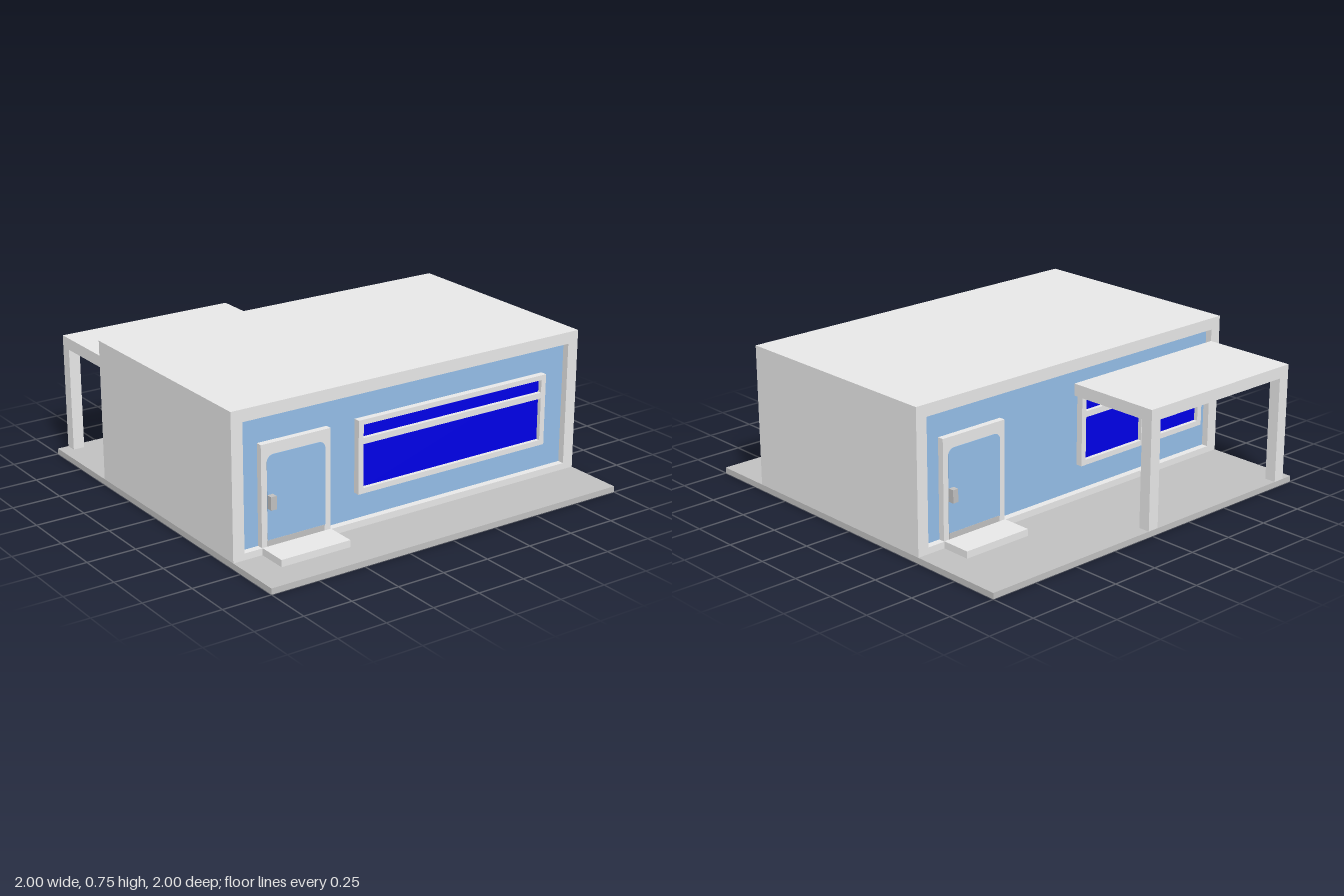
import * as THREE from 'three';

const mat = (name, color) => {
  const m = new THREE.MeshStandardMaterial({ color });
  m.name = name;
  return m;
};

// Rectangle outline, with optional corner radius
function rect(x0, y0, x1, y1, r = 0, Type = THREE.Shape) {
  const s = new Type();
  if (!r) {
    s.moveTo(x0, y0).lineTo(x1, y0).lineTo(x1, y1).lineTo(x0, y1).closePath();
    return s;
  }
  s.absarc(x1 - r, y0 + r, r, -Math.PI / 2, 0);
  s.absarc(x1 - r, y1 - r, r, 0, Math.PI / 2);
  s.absarc(x0 + r, y1 - r, r, Math.PI / 2, Math.PI);
  s.absarc(x0 + r, y0 + r, r, Math.PI, Math.PI * 1.5);
  s.closePath();
  return s;
}

export function createModel() {
  const white = mat('white trim', 0xffffff);
  const blue = mat('pale blue wall', 0xa3d1ff);
  const glass = mat('blue glass', 0x0000ff);
  const grey = mat('grey', 0xc0c0c0);

  const house = new THREE.Group();
  house.name = 'house';

  // Box given by its minimum and maximum corners
  const box = (parent, name, m, x0, x1, y0, y1, z0, z1) => {
    const mesh = new THREE.Mesh(new THREE.BoxGeometry(x1 - x0, y1 - y0, z1 - z0), m);
    mesh.position.set((x0 + x1) / 2, (y0 + y1) / 2, (z0 + z1) / 2);
    mesh.name = name;
    parent.add(mesh);
  };
  // Outline with holes, extruded from z0 to z1
  const slab = (parent, name, m, shape, holes, z0, z1) => {
    shape.holes = holes;
    const geo = new THREE.ExtrudeGeometry(shape, { depth: z1 - z0, bevelEnabled: false, curveSegments: 6 });
    const mesh = new THREE.Mesh(geo, m);
    mesh.position.z = z0;
    mesh.name = name;
    parent.add(mesh);
  };
  const hole = (x0, y0, x1, y1) => rect(x0, y0, x1, y1, 0, THREE.Path);

  // Ground and open-ended shell
  box(house, 'groundSlab', grey, -1, 1, 0, 0.03, -1, 1);
  slab(house, 'shell', white, rect(-1, 0.03, 1, 0.75), [hole(-0.94, 0.063, 0.94, 0.69)], -0.5, 0.69);

  // Facade: z = 0 is the front edge of the shell
  function facade(name, wx0, wx1, mullion) {
    const g = new THREE.Group();
    g.name = name;
    box(g, 'wall', blue, -0.94, 0.94, 0.063, 0.69, -0.06, -0.035);

    // Door with threshold, handle and step
    box(g, 'doorFrame', white, -0.845, -0.47, 0.063, 0.56, -0.035, -0.003);
    slab(g, 'doorPanel', blue, rect(-0.815, 0.07, -0.5, 0.505, 0.035), [], -0.004, -0.001);
    box(g, 'doorThreshold', grey, -0.815, -0.505, 0.065, 0.094, -0.004, 0);
    box(g, 'doorHandle', grey, -0.815, -0.785, 0.25, 0.315, -0.003, 0.03);
    box(g, 'doorStep', white, -0.845, -0.47, 0.03, 0.065, 0, 0.155);

    // Window: a tall pane below a narrow one, optionally split in two columns
    const f = 0.028, mid = (wx0 + wx1) / 2;
    const columns = mullion
      ? [[wx0 + f, mid - f / 2], [mid + f / 2, wx1 - f]]
      : [[wx0 + f, wx1 - f]];
    const panes = [];
    for (const [a, b] of columns) panes.push(hole(a, 0.222, b, 0.44), hole(a, 0.47, b, 0.535));
    slab(g, 'windowFrame', white, rect(wx0, 0.195, wx1, 0.56), panes, -0.035, -0.001);
    box(g, 'windowGlass', glass, wx0 + 0.01, wx1 - 0.01, 0.205, 0.55, -0.03, -0.022);
    house.add(g);
    return g;
  }
  facade('frontFacade', -0.315, 0.805, false).position.z = 0.69;
  const back = facade('backFacade', 0.03, 0.885, true);
  back.position.z = -0.5;
  back.rotation.y = Math.PI;

  // Back canopy on two posts
  box(house, 'canopyRoof', white, -0.94, 0.025, 0.57, 0.63, -1, -0.5);
  for (const x of [-0.94, -0.035])
    box(house, 'canopyPost', white, x, x + 0.06, 0.03, 0.57, -1, -0.94);

  return house;
}
